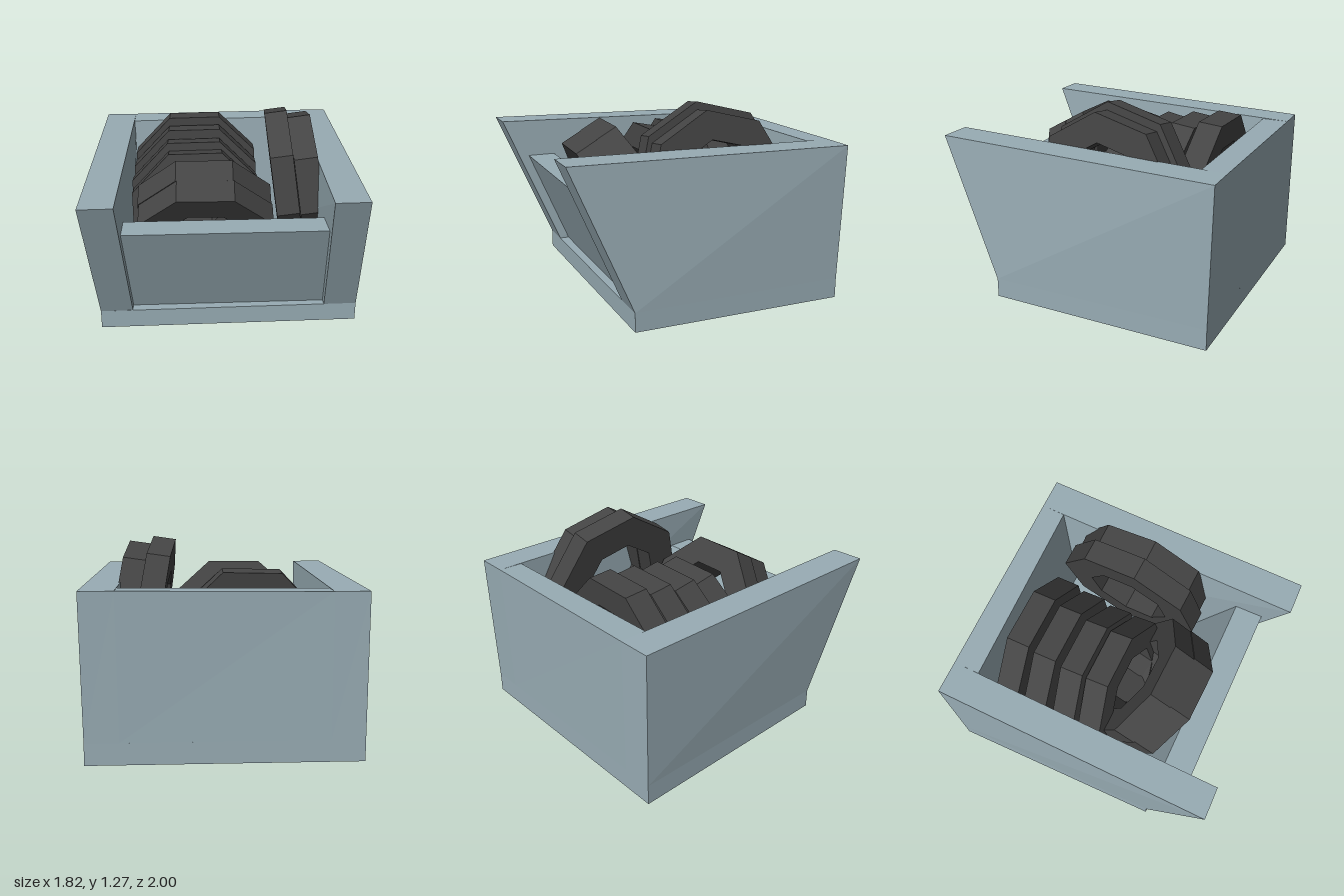
import * as THREE from 'three';

const binMat = new THREE.MeshStandardMaterial({ color: 0x98acb4, flatShading: true });
const tyreMat = new THREE.MeshStandardMaterial({ color: 0x444444, flatShading: true });

// Six-sided block from a lower and an upper ring of corners,
// each ordered back left, back right, front right, front left
function block(name, lower, upper) {
  const c = [...lower, ...upper];
  const quads = [[0, 1, 2, 3], [4, 7, 6, 5]];
  for (let i = 0; i < 4; i++) {
    const j = (i + 1) % 4;
    quads.push([j, i, i + 4, j + 4]);
  }
  const pos = [];
  for (const [a, b, d, e] of quads) for (const k of [a, b, d, a, d, e]) pos.push(...c[k]);
  const geo = new THREE.BufferGeometry();
  geo.setAttribute('position', new THREE.Float32BufferAttribute(pos, 3));
  geo.computeVertexNormals();
  const mesh = new THREE.Mesh(geo, binMat);
  mesh.name = name;
  return mesh;
}

// Eight-sided ring with its axle along z and a flat side on top
function tyre(name, radius, width, position, yaw, lean, roll) {
  const r = 0.28, h = width / 2;
  const profile = [[r, -h], [radius, -h], [radius, h], [r, h], [r, -h]].map(p => new THREE.Vector2(...p));
  const geo = new THREE.LatheGeometry(profile, 8);
  geo.rotateY(Math.PI / 8).rotateX(Math.PI / 2);
  const mesh = new THREE.Mesh(geo, tyreMat);
  mesh.name = name;
  mesh.position.set(...position);
  mesh.rotation.set(lean, yaw, roll, 'YXZ');
  return mesh;
}

function createBin() {
  const bin = new THREE.Group();
  bin.name = 'bin';
  bin.add(
    block('floor',
      [[-0.905, 0, -0.78], [0.7, 0, -0.98], [0.905, 0.03, 0.4], [-0.71, 0.03, 0.63]],
      [[-0.905, 0.13, -0.78], [0.7, 0.13, -0.98], [0.905, 0.15, 0.4], [-0.71, 0.15, 0.63]]),
    block('rightWall',
      [[-0.905, 0.13, -0.78], [-0.705, 0.13, -0.805], [-0.51, 0.15, 0.6], [-0.71, 0.15, 0.63]],
      [[-0.91, 0.99, -0.78], [-0.705, 0.99, -0.808], [-0.51, 1.03, 0.97], [-0.71, 1.03, 1]]),
    block('leftWall',
      [[0.5, 0.13, -0.955], [0.7, 0.13, -0.98], [0.905, 0.15, 0.4], [0.7, 0.15, 0.43]],
      [[0.51, 1, -0.973], [0.71, 1, -1], [0.905, 1.03, 0.77], [0.7, 1.03, 0.8]]),
    block('backWall',
      [[-0.705, 0.13, -0.805], [0.5, 0.13, -0.955], [0.53, 0.13, -0.77], [-0.685, 0.13, -0.59]],
      [[-0.705, 0.99, -0.808], [0.51, 1, -0.973], [0.528, 1, -0.82], [-0.685, 0.99, -0.64]]),
    block('frontPanel',
      [[-0.54, 0.14, 0.355], [0.68, 0.14, 0.195], [0.7, 0.14, 0.375], [-0.52, 0.14, 0.535]],
      [[-0.54, 0.78, 0.62], [0.68, 0.78, 0.46], [0.7, 0.78, 0.64], [-0.52, 0.78, 0.8]]));
  return bin;
}

export function createModel() {
  const model = new THREE.Group();
  model.name = 'tyreBin';
  model.add(createBin());

  // Row leaning back: centre, backward lean
  const row = [
    [[-0.22, 0.66, -0.51], 0.08],
    [[-0.2, 0.63, -0.31], 0.12],
    [[-0.18, 0.605, -0.1], 0.18],
    [[-0.15, 0.59, 0.08], 0.21],
  ];
  row.forEach(([p, lean], i) => model.add(tyre(`rowTyre${i + 1}`, 0.455, 0.155, p, 0.11, -lean, 0.02)));

  // Pair tipped forward against the front panel
  [[-0.09, 0.67, 0.187], [-0.07, 0.593, 0.32]].forEach((p, i) =>
    model.add(tyre(`frontTyre${i + 1}`, 0.455, 0.155, p, 0.1, 0.52, 0)));

  // Pair standing against the left wall
  model.add(
    tyre('sideTyre1', 0.485, 0.145, [0.41, 0.78, -0.19], Math.PI / 2 + 0.07, -0.14, -0.244),
    tyre('sideTyre2', 0.46, 0.15, [0.555, 0.775, -0.2], Math.PI / 2 + 0.09, -0.14, -0.244));
  return model;
}
